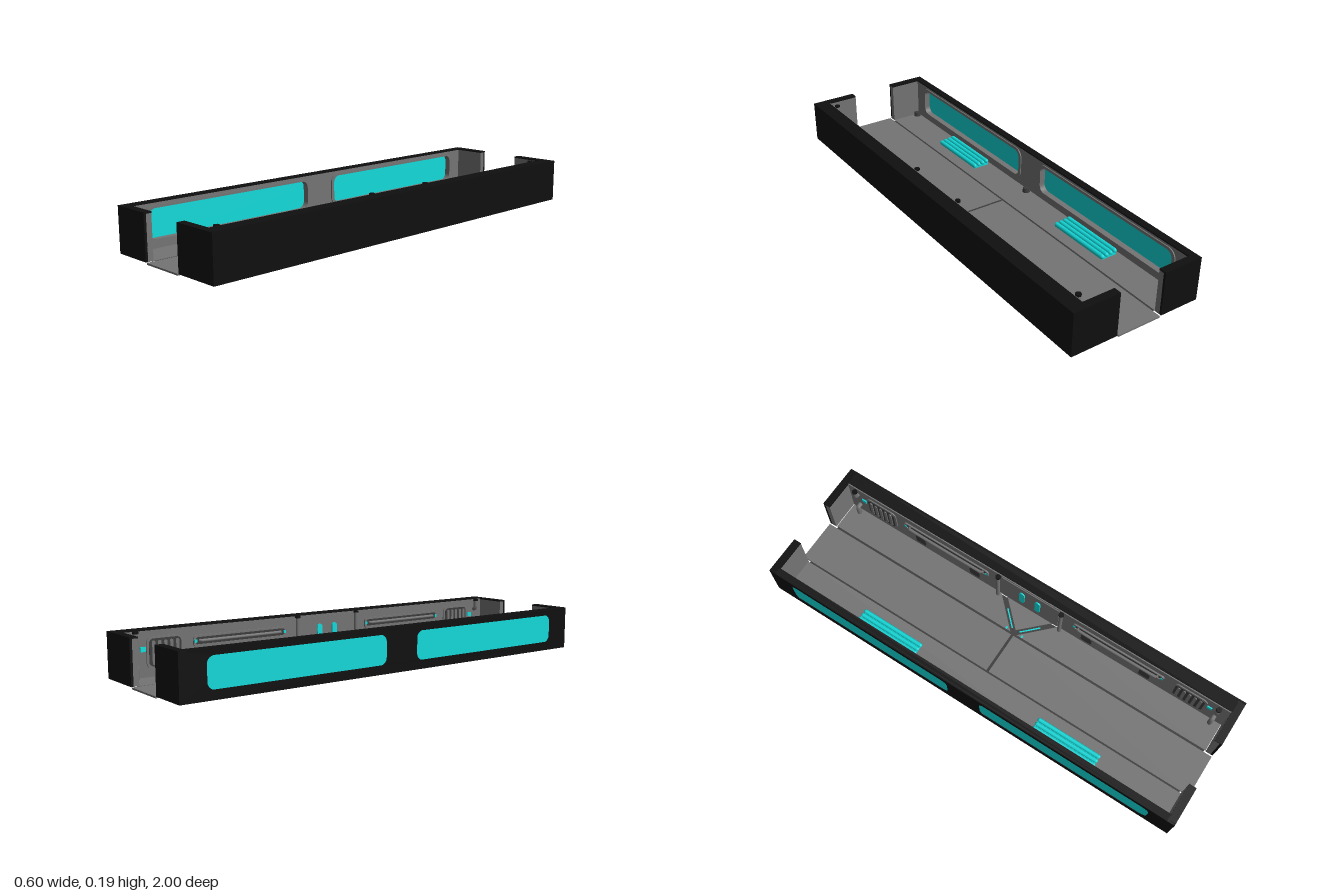
import * as THREE from 'three';

const mat = (name, color) => Object.assign(new THREE.MeshStandardMaterial({ color }), { name });

export function createModel() {
  const shell = mat('black shell', 0x0f0f0f);
  const grey = mat('grey panel', 0x747474);
  const dark = mat('dark trim', 0x3c3c3c);
  const cyan = mat('cyan accent', 0x14dada);
  const model = new THREE.Group();
  model.name = 'openCompartment';

  const add = (name, geo, material) => {
    const m = new THREE.Mesh(geo, material);
    m.name = name;
    model.add(m);
    return m;
  };
  const box = (name, material, x0, x1, y0, y1, z0, z1) =>
    add(name, new THREE.BoxGeometry(x1 - x0, y1 - y0, z1 - z0)
      .translate((x0 + x1) / 2, (y0 + y1) / 2, (z0 + z1) / 2), material);

  // Rounded rectangle in (z, y), used for wall parts
  const rounded = (z0, z1, y0, y1, r, S = THREE.Shape) => {
    const s = new S();
    s.moveTo(z0 + r, y0).lineTo(z1 - r, y0);
    s.absarc(z1 - r, y0 + r, r, -Math.PI / 2, 0, false);
    s.absarc(z1 - r, y1 - r, r, 0, Math.PI / 2, false);
    s.absarc(z0 + r, y1 - r, r, Math.PI / 2, Math.PI, false);
    s.absarc(z0 + r, y0 + r, r, Math.PI, Math.PI * 1.5, false);
    return s;
  };
  // Extrude a (z, y) shape across x0..x1
  const slab = (name, material, shape, x0, x1) => {
    const g = new THREE.ExtrudeGeometry(shape, { depth: x1 - x0, bevelEnabled: false, curveSegments: 6 });
    return add(name, g.rotateY(-Math.PI / 2).translate(x1, 0, 0), material);
  };
  const rect = (z0, z1, y0, y1) => new THREE.Shape([
    new THREE.Vector2(z0, y0), new THREE.Vector2(z1, y0), new THREE.Vector2(z1, y1), new THREE.Vector2(z0, y1)]);
  const tube = (name, material, pts, r) => add(name, new THREE.TubeGeometry(
    new THREE.CatmullRomCurve3(pts.map(p => new THREE.Vector3(...p)), false, 'catmullrom', 0.3), 16, r, 8), material);

  // Floor plates with open seams over a dark bed
  const plate = (name, pts) => {
    const g = new THREE.ExtrudeGeometry(new THREE.Shape(pts.map(p => new THREE.Vector2(...p))),
      { depth: 0.007, bevelEnabled: false });
    add(name, g.rotateX(-Math.PI / 2), grey);
  };
  box('floorBed', dark, -0.115, 0.222, 0.002, 0.005, -0.96, 0.96);
  box('floorSidePlate', grey, -0.285, -0.123, 0.005, 0.0075, -0.97, 0.97);
  box('floorSideSeam', dark, -0.123, -0.115, 0.003, 0.0055, -0.96, 0.96);
  plate('floorWedge', [[0.111, 0], [0.227, -0.118], [0.227, 0.118]]);
  for (const s of [-1, 1]) {
    const z = [0.006 * s, s];
    box('floorMiddlePlate', grey, -0.115, 0.083, 0, 0.007, Math.min(...z), Math.max(...z));
    plate('floorEdgePlate', [[0.093, 0.016 * s], [0.227, 0.15 * s], [0.227, 0.965 * s], [0.093, 0.965 * s]]);
    const slit = box('floorLight', cyan, -0.048, 0.048, -0.0026, 0.0026, -0.003, 0.003);
    slit.position.set(0.146, 0.0035, 0.052 * s);
    slit.rotation.y = -s * Math.PI / 4;
    box('floorLightDot', cyan, 0.094, 0.106, 0.006, 0.0076, 0.04 * s - 0.004, 0.04 * s + 0.004);
  }

  // Window wall: black skin, grey lining, both pierced by the windows
  const wins = [[-0.89, -0.08], [0.08, 0.89]];
  const skin = rect(-1, 1, 0.007, 0.195), lining = rect(-0.97, 0.97, 0.007, 0.19);
  for (const [a, b] of wins) {
    skin.holes.push(rounded(a, b, 0.045, 0.168, 0.03, THREE.Path));
    lining.holes.push(rounded(a, b, 0.045, 0.168, 0.03, THREE.Path));
  }
  slab('windowWallSkin', shell, skin, -0.298, -0.288);
  slab('windowWallLining', grey, lining, -0.288, -0.266);
  box('windowWallRim', shell, -0.29, -0.265, 0.189, 0.195, -0.97, 0.97);
  for (const [a, b] of wins) {
    slab('windowGlass', cyan, rounded(a, b, 0.045, 0.168, 0.03), -0.296, -0.288);
    const ring = rounded(a - 0.015, b + 0.015, 0.032, 0.18, 0.04);
    ring.holes.push(rounded(a, b, 0.045, 0.168, 0.03, THREE.Path));
    slab('windowFrame', grey, ring, -0.267, -0.261);
  }

  // Equipment wall: outer skin and inner panel, hollow and open below
  box('equipmentWallSkin', shell, 0.288, 0.297, 0.007, 0.195, -1, 1);
  box('equipmentWallRim', shell, 0.232, 0.29, 0.189, 0.195, -0.97, 0.97);
  box('equipmentWallPanel', grey, 0.227, 0.233, 0.007, 0.192, -0.97, 0.97);
  box('centrePanel', grey, 0.223, 0.228, 0.012, 0.185, -0.145, 0.145);

  for (const s of [-1, 1]) {
    // End walls beside the doorway
    for (const [x0, x1] of [[-0.298, -0.121], [0.089, 0.297]]) {
      const span = (name, m, a, b, y0, y1, p, q) =>
        box(name, m, a, b, y0, y1, Math.min(p * s, q * s), Math.max(p * s, q * s));
      span('endWallSkin', shell, x0, x1, 0.007, 0.195, 0.99, 1);
      span('endWallRim', shell, x0, x1, 0.189, 0.195, 0.966, 0.992);
      span('endWallLining', grey, x0 < 0 ? -0.288 : x0, x0 < 0 ? x1 : 0.233, 0.007, 0.19, 0.967, 0.991);
    }

    // Slatted bench under each window
    for (let i = 0; i < 4; i++) {
      const g = new THREE.CapsuleGeometry(0.0098, 0.29, 3, 8).rotateX(Math.PI / 2);
      add('benchSlat', g, cyan).position.set(-0.244 + i * 0.0213, 0.025 - i * 0.002, 0.455 * s);
    }
    box('benchBase', cyan, -0.25, -0.175, 0.007, 0.016, 0.455 * s - 0.15, 0.455 * s + 0.15);

    // Centre light, vertical pipe and its cap
    slab('wallLight', cyan, rounded(0.04 * s - 0.013, 0.04 * s + 0.013, 0.06, 0.15, 0.0125), 0.217, 0.225);
    add('wallPipe', new THREE.CylinderGeometry(0.009, 0.009, 0.183, 10), grey).position.set(0.215, 0.0985, 0.16 * s);
    add('pipeCap', new THREE.CylinderGeometry(0.012, 0.012, 0.008, 10), shell).position.set(0.215, 0.19, 0.16 * s);

    // Rail in a rounded frame
    const frame = rounded(0.44 * s - 0.225, 0.44 * s + 0.225, 0.108, 0.155, 0.015);
    frame.holes.push(rounded(0.44 * s - 0.215, 0.44 * s + 0.215, 0.117, 0.147, 0.01, THREE.Path));
    slab('railFrame', grey, frame, 0.22, 0.228);
    slab('railRecess', dark, rounded(0.44 * s - 0.215, 0.44 * s + 0.215, 0.117, 0.147, 0.01), 0.225, 0.228);
    tube('rail', grey, [[0.227, 0.132, 0.245 * s], [0.215, 0.132, 0.255 * s],
      [0.215, 0.132, 0.625 * s], [0.227, 0.132, 0.635 * s]], 0.007);
    for (const z of [0.225, 0.655]) box('railLight', cyan, 0.2185, 0.2205, 0.125, 0.138, z * s - 0.006, z * s + 0.006);

    // Small dark hatches
    for (const z of [0.29, 0.58])
      slab('hatch', dark, rounded(z * s - 0.026, z * s + 0.026, 0.037, 0.09, 0.01), 0.222, 0.228);

    // Vent grille
    slab('vent', grey, rounded(0.79 * s - 0.08, 0.79 * s + 0.08, 0.04, 0.168, 0.025), 0.222, 0.228);
    slab('ventRecess', dark, rounded(0.79 * s - 0.07, 0.79 * s + 0.07, 0.048, 0.16, 0.02), 0.22, 0.223);
    for (let i = -2; i <= 2; i++) {
      const z = 0.79 * s + i * 0.026;
      slab('ventSlat', grey, rounded(z - 0.007, z + 0.007, 0.056, 0.152, 0.006), 0.216, 0.221);
    }

    // Corner pipes bending into the wall
    const z = 0.92 * s;
    tube('upperElbow', grey, [[0.212, 0.19, z], [0.212, 0.158, z], [0.216, 0.148, z], [0.23, 0.145, z]], 0.01);
    tube('lowerElbow', grey, [[0.23, 0.06, z], [0.212, 0.058, z], [0.208, 0.045, z], [0.208, 0.007, z]], 0.011);
    add('pipeCap', new THREE.CylinderGeometry(0.012, 0.012, 0.008, 10), shell).position.set(0.212, 0.19, z);
    box('cornerLight', cyan, 0.221, 0.2265, 0.11, 0.13, 0.885 * s - 0.012, 0.885 * s + 0.012);
  }

  // Floor knobs along the window wall
  for (const z of [-0.95, 0, 0.95]) {
    add('floorKnob', new THREE.CylinderGeometry(0.014, 0.017, 0.02, 8), dark).position.set(-0.248, 0.017, z);
  }
  return model;
}
